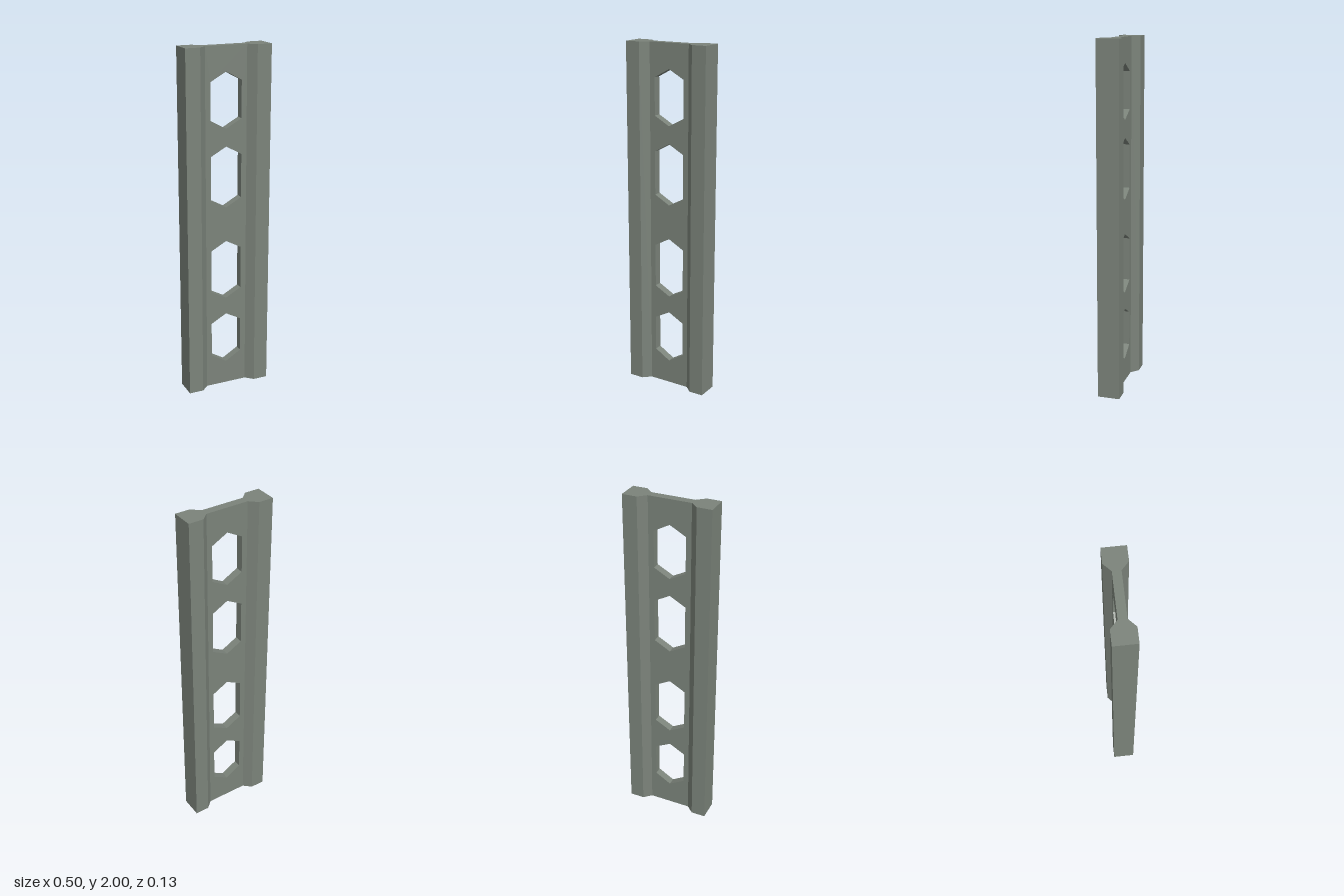
import * as THREE from 'three';

const HEIGHT = 2;
const WEB_X = 0.123, WEB_Z = 0.023;   // half width and half thickness of the thin web
const RAIL_X = 0.25, RAIL_Z = 0.063;  // outer half width and half thickness of the rails
const BEVEL_X = 0.166;                // where the rail bevel reaches full thickness

const polygon = (pts, Type = THREE.Shape) => new Type(pts.map(([x, y]) => new THREE.Vector2(x, y)));

export function createModel() {
  const group = new THREE.Group();
  group.name = 'perforatedPanel';
  const metal = new THREE.MeshStandardMaterial({ color: 0x7b837a });
  metal.name = 'greenGreyMetal';

  // Thin web with four elongated hexagonal holes
  const web = polygon([[-WEB_X, 0], [WEB_X, 0], [WEB_X, HEIGHT], [-WEB_X, HEIGHT]]);
  const w = 0.092;
  // bottom tip, lower shoulder, upper shoulder, top tip
  const holes = [
    [0.14, 0.195, 0.4, 0.45],
    [0.55, 0.6, 0.85, 0.9],
    [1.1, 1.15, 1.4, 1.45],
    [1.55, 1.6, 1.81, 1.86],
  ];
  for (const [b, lo, hi, t] of holes) {
    web.holes.push(polygon([[0, b], [-w, lo], [-w, hi], [0, t], [w, hi], [w, lo]], THREE.Path));
  }
  const webGeo = new THREE.ExtrudeGeometry(web, { depth: 2 * WEB_Z, bevelEnabled: false });
  webGeo.translate(0, 0, -WEB_Z);
  const webMesh = new THREE.Mesh(webGeo, metal);
  webMesh.name = 'web';
  group.add(webMesh);

  // Thick side rails, bevelled down to the web
  for (const [name, s] of [['leftRail', 1], ['rightRail', -1]]) {
    const profile = polygon([
      [s * WEB_X, -WEB_Z], [s * BEVEL_X, -RAIL_Z], [s * RAIL_X, -RAIL_Z],
      [s * RAIL_X, RAIL_Z], [s * BEVEL_X, RAIL_Z], [s * WEB_X, WEB_Z],
    ]);
    const geo = new THREE.ExtrudeGeometry(profile, { depth: HEIGHT, bevelEnabled: false });
    geo.rotateX(-Math.PI / 2);
    const rail = new THREE.Mesh(geo, metal);
    rail.name = name;
    group.add(rail);
  }
  return group;
}
